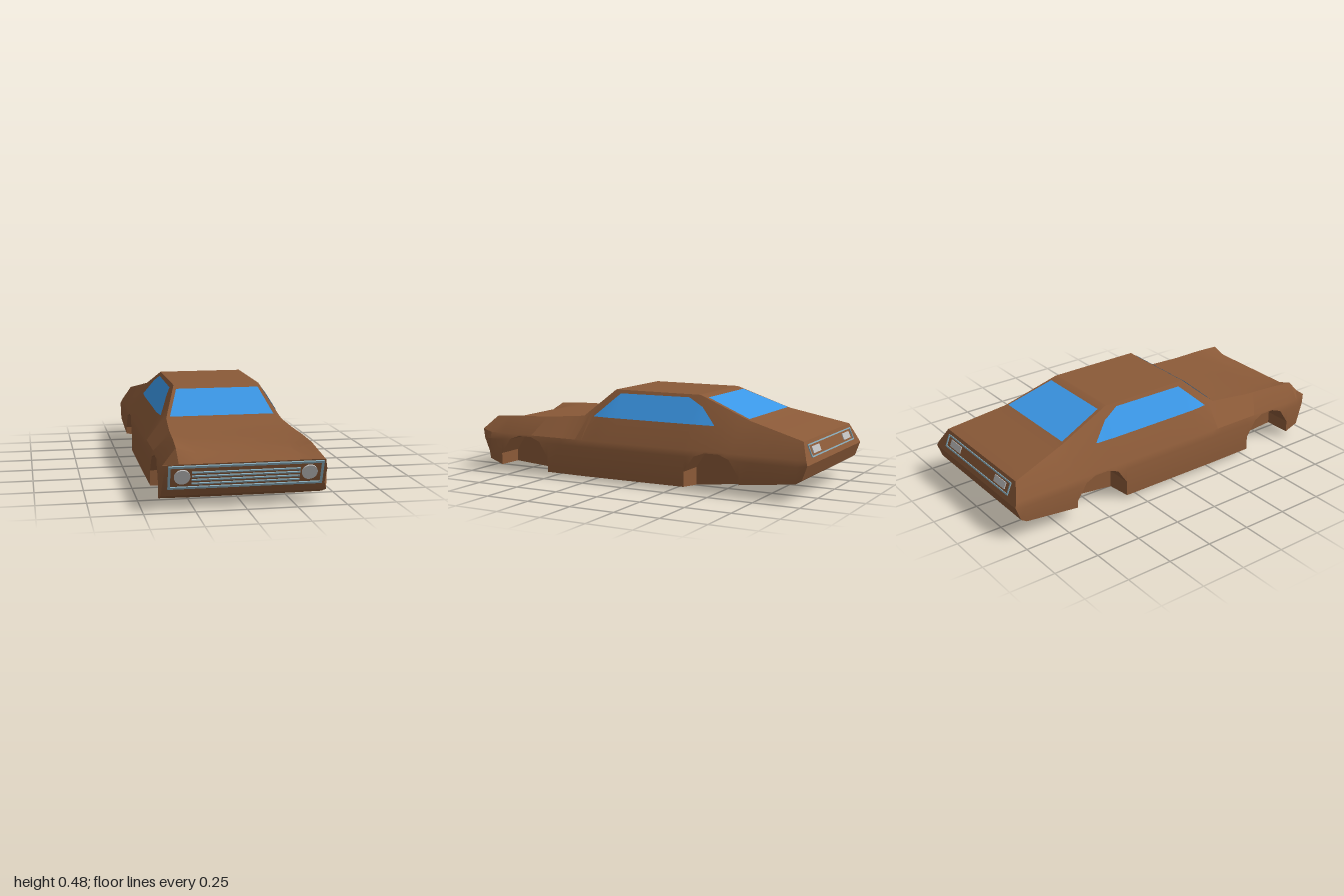
import * as THREE from 'three';
import { toCreasedNormals } from 'three/addons/utils/BufferGeometryUtils.js';

const mat = (name, color, side = THREE.FrontSide) => {
  const m = new THREE.MeshStandardMaterial({ color, side });
  m.name = name;
  return m;
};

// Piecewise-linear lookup; rows are [z, value...] with z falling
function lookup(rows, z) {
  if (z >= rows[0][0]) return rows[0].slice(1);
  for (let i = 1; i < rows.length; i++) {
    const a = rows[i - 1], b = rows[i];
    if (z >= b[0]) {
      const t = (a[0] - z) / (a[0] - b[0]);
      return a.slice(1).map((v, k) => v + (b[k + 1] - v) * t);
    }
  }
  return rows[rows.length - 1].slice(1);
}

// Top edge: z, half width, edge height, centre height
const TOP = [
  [0.93, 0.335, 0.3, 0.27], [0.8, 0.328, 0.31, 0.3], [0.6, 0.318, 0.315, 0.314], [0.36, 0.3, 0.335, 0.335],
  [0.19, 0.235, 0.485, 0.485], [-0.33, 0.235, 0.485, 0.485], [-0.63, 0.28, 0.375, 0.375], [-0.945, 0.345, 0.303, 0.303],
];
// Underside: z, floor height, sill height
const BOTTOM = [
  [0.93, 0.065, 0.065], [0.85, 0.033, 0.035], [0.535, 0.01, 0.02], [0.3, 0, 0.018],
  [-0.32, 0.004, 0.02], [-0.63, 0.04, 0.06], [-0.94, 0.095, 0.095],
];
// Stations from nose to tail: z, wheel arch height if any
const ARCH = [[-0.157, 0.1], [-0.1, 0.185], [-0.04, 0.206], [0.04, 0.206], [0.1, 0.185], [0.157, 0.1]];
const arch = (c) => [[c + 0.157], ...ARCH.map(([d, y]) => [c - d, y]), [c - 0.157]];
const STATIONS = [
  [0.93], ...arch(0.693), [0.45], [0.36], [0.32], [0.285], [0.24], [0.19], [0], [-0.2],
  ...arch(-0.475), [-0.33], [-0.39], [-0.45], [-0.5], [-0.55], [-0.7], [-0.8], [-0.94],
];
STATIONS.forEach((s, i) => { s.order = i; });
STATIONS.sort((a, b) => b[0] - a[0] || a.order - b.order);

const SHOULDER = [0.4, 0.215];

// Half section from the floor centre, round the wheel well and side, to the top centre
function halfSection(z, archY) {
  const [xt, yt, yc] = lookup(TOP, z);
  const [yb, ye] = lookup(BOTTOM, z);
  const sideY = Math.max(0.18, archY ?? 0);
  const sideX = 0.41 - 0.01 * (sideY - 0.18) / 0.035;
  return [
    [0, yb, z], [0.26, yb, z], [0.26, archY ?? yb, z], [sideX, archY ?? ye, z], [sideX, sideY, z],
    [...SHOULDER, z], [xt, yt, z], [Math.min(0.24, xt * 0.8), yc, z], [0, yc, z],
  ];
}

// Wheel well stations need the well height between their ends
function archAt(z) {
  for (const c of [0.693, -0.475]) {
    const rows = ARCH.map(([d, y]) => [c - d, y]);
    if (z < rows[0][0] - 1e-6 && z > rows[5][0] + 1e-6) return lookup(rows, z)[0];
  }
  return undefined;
}

function bodyGeometry() {
  const pos = [], A = new THREE.Vector3(), B = new THREE.Vector3(), C = new THREE.Vector3();
  const tri = (a, b, c) => {
    A.fromArray(a); B.fromArray(b); C.fromArray(c);
    if (B.sub(A).cross(C.sub(A)).length() > 1e-7) pos.push(...a, ...b, ...c);
  };
  const quad = (a, b, c, d) => { tri(a, b, c); tri(a, c, d); };
  const flip = ([x, y, z]) => [-x, y, z];

  const nose = [[0, 0.105, 0.95], [0.26, 0.105, 0.95], [0.26, 0.105, 0.95], [0.395, 0.105, 0.95], [0.4, 0.18, 0.977],
    [0.388, 0.229, 0.994], [0.33, 0.232, 0.995], [0.24, 0.232, 0.995], [0, 0.232, 0.995]];
  const tail = [[0, 0.115, -0.972], [0.26, 0.115, -0.972], [0.26, 0.115, -0.972], [0.41, 0.115, -0.972], [0.41, 0.19, -1],
    [0.4, 0.215, -0.99], [0.347, 0.3, -0.955], [0.24, 0.3, -0.955], [0, 0.3, -0.955]];
  const halves = [nose, ...STATIONS.map(([z, y]) => halfSection(z, y ?? archAt(z))), tail];

  for (let s = 0; s + 1 < halves.length; s++) {
    const f = halves[s], r = halves[s + 1];
    for (let i = 0; i + 1 < f.length; i++) {
      quad(f[i], r[i], r[i + 1], f[i + 1]);
      quad(flip(f[i + 1]), flip(r[i + 1]), flip(r[i]), flip(f[i]));
    }
  }
  // End panels
  for (let i = 3; i < 6; i++) {
    quad(flip(nose[i]), nose[i], nose[i + 1], flip(nose[i + 1]));
    quad(tail[i], flip(tail[i]), flip(tail[i + 1]), tail[i + 1]);
  }
  const g = new THREE.BufferGeometry();
  g.setAttribute('position', new THREE.Float32BufferAttribute(pos, 3));
  return toCreasedNormals(g, 0.4);
}

// Strip of quads between two rows of points
function strip(low, high) {
  const index = [], n = low.length;
  for (let i = 0; i + 1 < n; i++) index.push(i, i + 1, n + i + 1, i, n + i + 1, n + i);
  const g = new THREE.BufferGeometry();
  g.setAttribute('position', new THREE.Float32BufferAttribute([...low, ...high].flat(), 3));
  g.setIndex(index);
  g.computeVertexNormals();
  return g;
}

export function createModel() {
  const car = new THREE.Group();
  car.name = 'car';
  const paint = mat('brownPaint', 0x8b5a38);
  const glass = mat('blueGlass', 0x3b98e8, THREE.DoubleSide);
  const trim = mat('steelTrim', 0x86a9b8);
  const lamp = mat('lampGrey', 0xbfbfbf);
  const add = (parent, name, geometry, material, x = 0, y = 0, z = 0) => {
    const m = new THREE.Mesh(geometry, material);
    m.name = name;
    m.position.set(x, y, z);
    parent.add(m);
    return m;
  };

  add(car, 'body', bodyGeometry(), paint);

  // Windscreen and rear window
  const o = 0.003;
  add(car, 'windscreen', strip([[-0.28, 0.34 + o, 0.354 + o], [0.28, 0.34 + o, 0.354 + o]],
    [[-0.225, 0.465 + o, 0.213 + o], [0.225, 0.465 + o, 0.213 + o]]), glass);
  add(car, 'rearWindow', strip([[0.265, 0.377 + o, -0.625], [-0.265, 0.377 + o, -0.625]],
    [[0.222, 0.47 + o, -0.37], [-0.222, 0.47 + o, -0.37]]), glass);

  // Side windows follow the sloping cabin side
  const EDGE = [[0.285, 0.339], [0.15, 0.465], [-0.27, 0.468], [-0.36, 0.425], [-0.45, 0.341]];
  const zs = [0.285, 0.24, 0.19, 0.15, 0, -0.27, -0.33, -0.36, -0.39, -0.42, -0.45];
  for (const s of [1, -1]) {
    const point = (z, y) => {
      const [xt, yt] = lookup(TOP, z);
      const t = (y - SHOULDER[1]) / (yt - SHOULDER[1]);
      return [s * (SHOULDER[0] + (xt - SHOULDER[0]) * t + 0.004), y + 0.002, z];
    };
    const low = zs.map((z) => point(z, 0.337)), high = zs.map((z) => point(z, lookup(EDGE, z)[0]));
    add(car, s > 0 ? 'leftSideWindow' : 'rightSideWindow', s > 0 ? strip(low, high) : strip(high, low), glass);
  }

  // Rectangular trim frame made of four bars
  const frame = (parent, w, h, t, d) => {
    for (const s of [1, -1]) {
      add(parent, 'frameRail', new THREE.BoxGeometry(w, t, d), trim, 0, s * (h - t) / 2, 0);
      add(parent, 'framePost', new THREE.BoxGeometry(t, h, d), trim, s * (w - t) / 2, 0, 0);
    }
  };

  // Front grille with bars and round headlamps
  const grille = new THREE.Group();
  grille.name = 'grille';
  grille.position.set(0, 0.165, 0.9725);
  grille.rotation.x = 0.35;
  car.add(grille);
  frame(grille, 0.76, 0.128, 0.011, 0.014);
  for (let i = 0; i < 4; i++) {
    add(grille, 'grilleBar', new THREE.BoxGeometry(0.53, 0.007, 0.01), trim, 0, 0.025 - i * 0.0205, 0.002);
  }
  for (const s of [1, -1]) {
    add(grille, 'headlamp', new THREE.CylinderGeometry(0.039, 0.039, 0.012, 24), lamp, s * 0.312, 0.003, 0.002).rotation.x = Math.PI / 2;
  }

  // Rear light panel
  const rear = new THREE.Group();
  rear.name = 'rearLightPanel';
  rear.position.set(0, 0.25, -0.9755);
  rear.rotation.set(-0.388, Math.PI, 0, 'YXZ');
  car.add(rear);
  frame(rear, 0.64, 0.07, 0.007, 0.012);
  for (const s of [1, -1]) {
    add(rear, 'rearLight', new THREE.BoxGeometry(0.105, 0.036, 0.01), lamp, s * 0.228, 0, 0);
  }
  return car;
}
